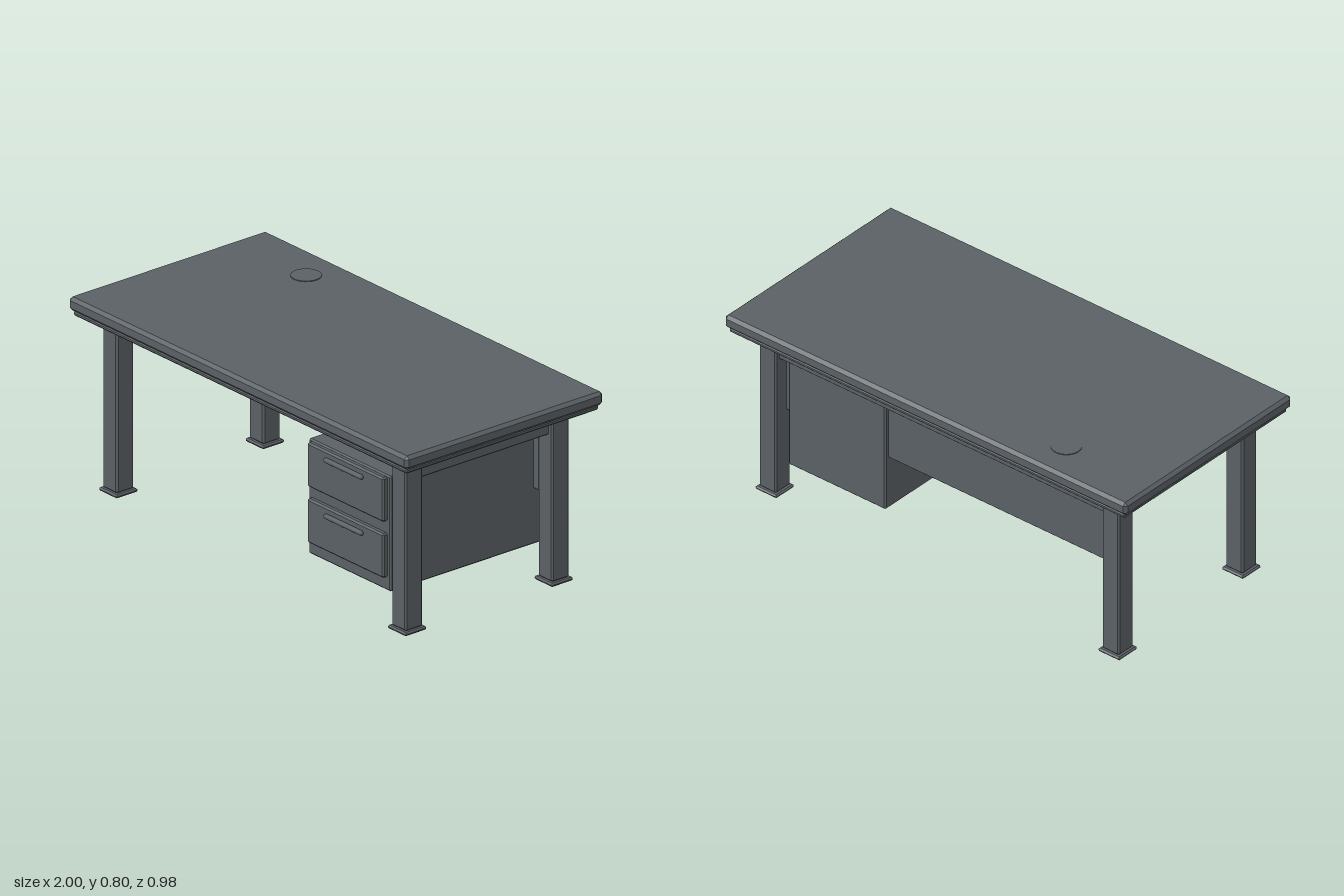
import * as THREE from 'three';
import { ConvexGeometry } from 'three/addons/geometries/ConvexGeometry.js';

// Box with single-facet chamfers, given by its min/max on each axis
function chamferBox(x0, x1, y0, y1, z0, z1, c) {
  const h = [(x1 - x0) / 2, (y1 - y0) / 2, (z1 - z0) / 2];
  const points = [];
  for (const sx of [-1, 1]) for (const sy of [-1, 1]) for (const sz of [-1, 1]) {
    for (let axis = 0; axis < 3; axis++) {
      const p = h.map((v, i) => (i === axis ? v : v - c));
      points.push(new THREE.Vector3(sx * p[0], sy * p[1], sz * p[2]));
    }
  }
  const geometry = new ConvexGeometry(points);
  geometry.translate((x0 + x1) / 2, (y0 + y1) / 2, (z0 + z1) / 2);
  return geometry;
}

export function createModel() {
  const desk = new THREE.Group();
  desk.name = 'desk';
  const slateGrey = new THREE.MeshStandardMaterial({ color: 0x5a6065 });
  slateGrey.name = 'slateGrey';

  const add = (name, geometry) => {
    const mesh = new THREE.Mesh(geometry, slateGrey);
    mesh.name = name;
    desk.add(mesh);
    return mesh;
  };
  const box = (name, ...dims) => add(name, chamferBox(...dims));

  // Top with a thinner slab beneath it
  box('tabletop', -1, 1, 0.737, 0.794, -0.49, 0.49, 0.013);
  box('underTop', -0.985, 0.985, 0.716, 0.738, -0.478, 0.478, 0.007);

  // Cable cover near the back of the top
  const cover = add('cableCover', new THREE.CylinderGeometry(0.06, 0.06, 0.008, 24));
  cover.position.set(-0.57, 0.793, -0.33);

  // Legs and feet
  for (const sx of [-1, 1]) {
    for (const sz of [-1, 1]) {
      const x = sx * 0.853, z = sz * 0.363;
      box('leg', x - 0.043, x + 0.043, 0.014, 0.709, z - 0.043, z + 0.043, 0.007);
      box('foot', x - 0.054, x + 0.054, 0, 0.015, z - 0.054, z + 0.054, 0.006);
    }
    // Rail joining front and back legs
    const x = sx * 0.853;
    box('sideRail', x - 0.022, x + 0.022, 0.62, 0.669, -0.33, 0.33, 0.005);
  }

  // Back rail and the panel below it
  box('backRail', -0.82, 0.82, 0.62, 0.669, -0.385, -0.341, 0.005);
  box('modestyPanel', -0.82, 0.82, 0.37, 0.669, -0.345, -0.318, 0.004);

  // Drawer unit
  box('drawerUnit', 0.303, 0.787, 0.138, 0.615, -0.362, 0.39, 0.006);
  for (const y of [0.518, 0.286]) {
    box('drawerFront', 0.32, 0.77, y - 0.092, y + 0.092, 0.385, 0.413, 0.007);
    // Bar handle with tapered ends
    const profile = [[0, -0.112], [0.006, -0.112], [0.01, -0.106], [0.01, 0.106], [0.006, 0.112], [0, 0.112]];
    const handle = add('drawerHandle', new THREE.LatheGeometry(profile.map(([r, v]) => new THREE.Vector2(r, v)), 12));
    handle.rotation.z = Math.PI / 2;
    handle.position.set(0.545, y + 0.059, 0.42);
  }
  return desk;
}
